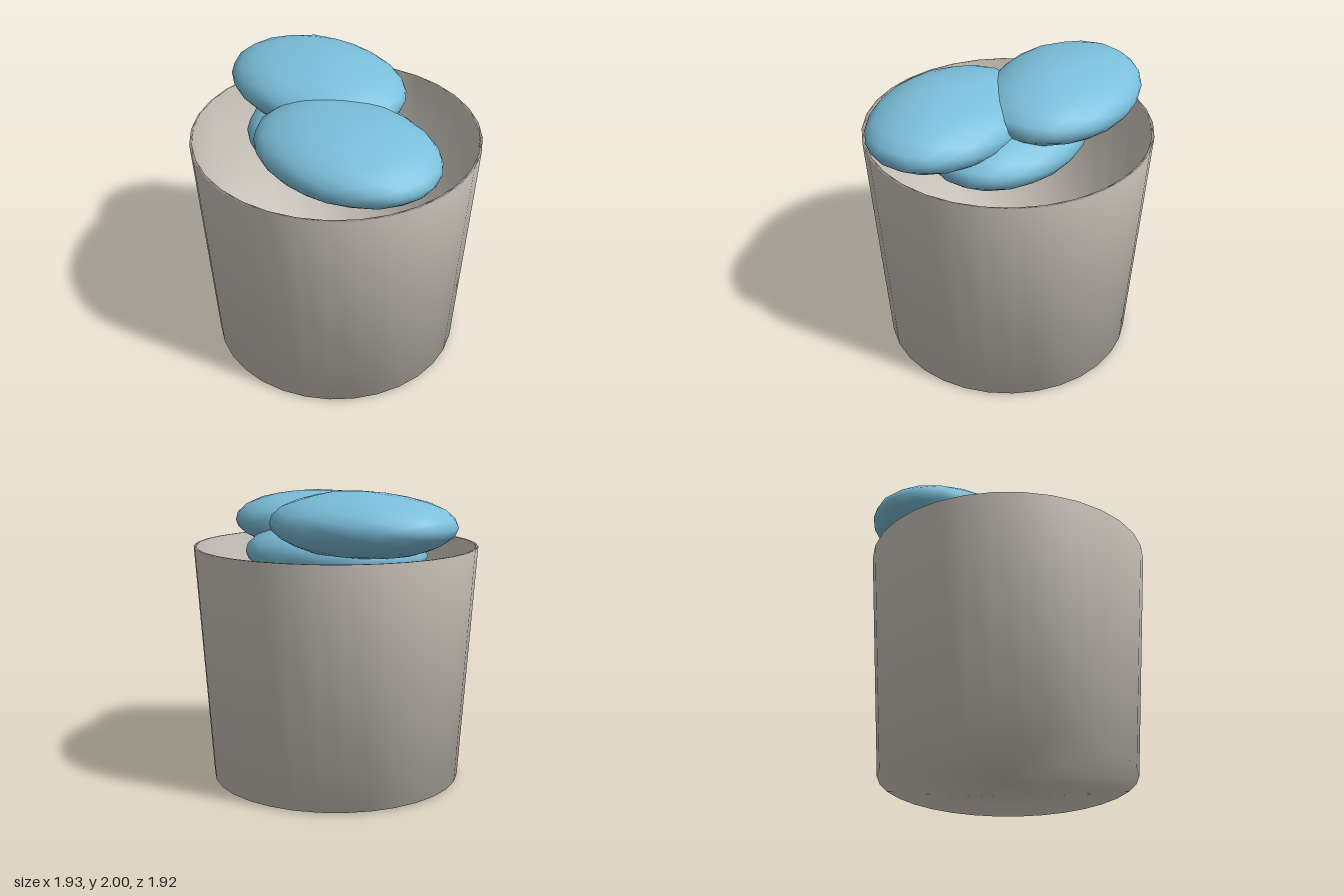
import * as THREE from 'three';
import { mergeVertices } from 'three/addons/utils/BufferGeometryUtils.js';

const cupMaterial = new THREE.MeshStandardMaterial({ color: 0xd0cac0 });
cupMaterial.name = 'warm grey';
const pebbleMaterial = new THREE.MeshStandardMaterial({ color: 0x7cc0dc });
pebbleMaterial.name = 'light blue';

// Thin-walled tapered cup: one smooth profile, outside then inside
function makeCup() {
  const profile = [
    [0, 0], [0.852, 0.01], [0.96, 1.612], [0.943, 1.612], [0.837, 0.025], [0, 0.02],
  ].map(([r, y]) => new THREE.Vector2(r, y));
  const cup = new THREE.Mesh(new THREE.LatheGeometry(profile, 32), cupMaterial);
  cup.name = 'cup';
  return cup;
}

// Flattened, slightly lumpy smooth pebble
function makePebble(name, center, radii, phase) {
  let geometry = new THREE.IcosahedronGeometry(1, 3);
  geometry.deleteAttribute('uv');
  geometry.deleteAttribute('normal');
  geometry = mergeVertices(geometry, 1e-4);
  const position = geometry.attributes.position;
  const v = new THREE.Vector3();
  for (let i = 0; i < position.count; i++) {
    v.fromBufferAttribute(position, i);
    const lump = 0.035 * Math.sin(5 * v.x + phase) * Math.cos(4 * v.z - phase);
    position.setXYZ(i, v.x * radii[0], (v.y + lump * Math.abs(v.y)) * radii[1], v.z * radii[2]);
  }
  geometry.computeVertexNormals();
  const pebble = new THREE.Mesh(geometry, pebbleMaterial);
  pebble.name = name;
  pebble.position.set(...center);
  return pebble;
}

export function createModel() {
  const model = new THREE.Group();
  model.name = 'cupOfPebbles';
  model.add(
    makeCup(),
    makePebble('backPebble', [-0.325, 1.785, -0.23], [0.645, 0.212, 0.48], 0.4),
    makePebble('frontPebble', [0.285, 1.735, 0.27], [0.645, 0.212, 0.48], 1.6),
    makePebble('lowerPebble', [0, 1.56, -0.01], [0.655, 0.212, 0.49], 2.7),
  );
  return model;
}
